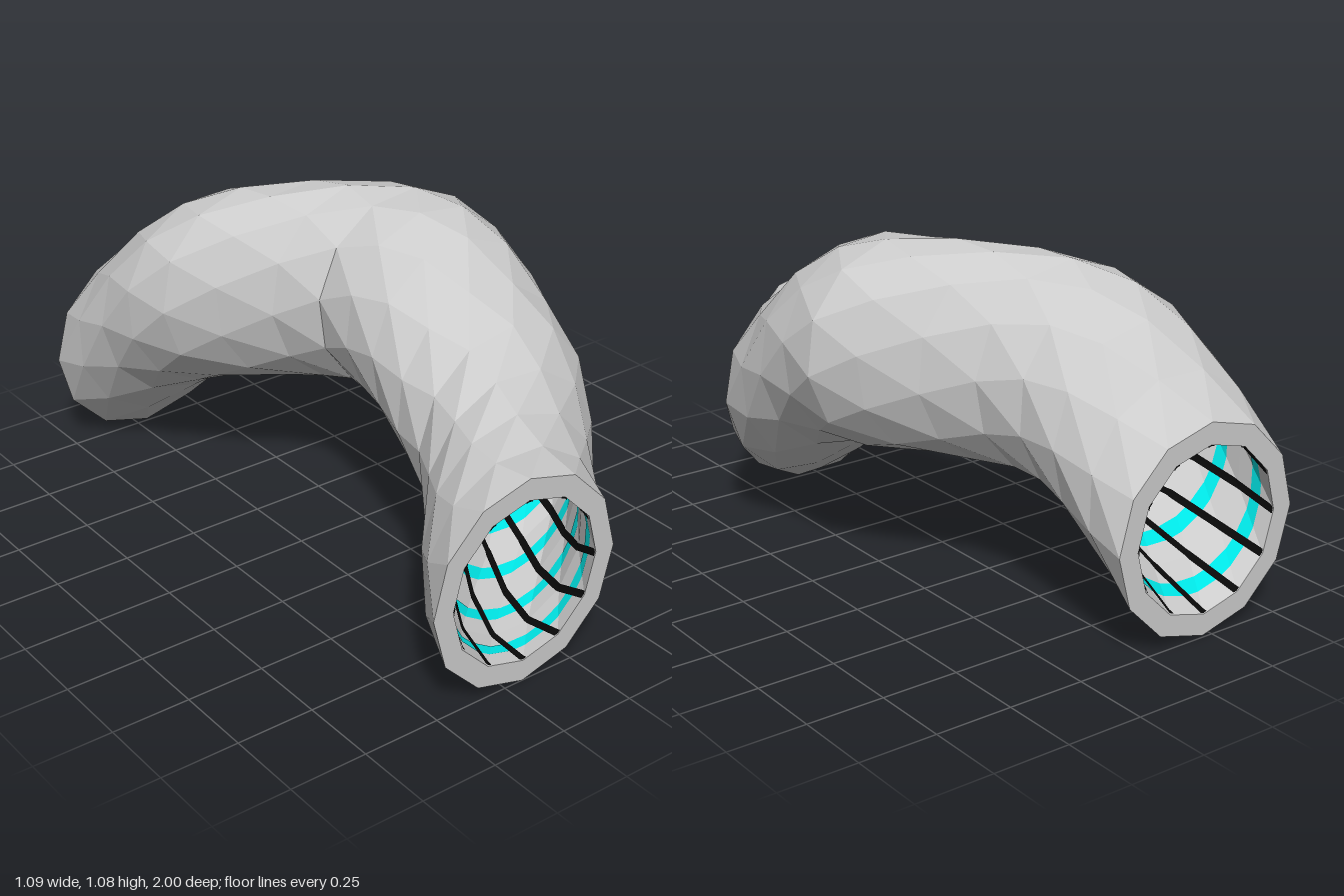
import * as THREE from 'three';

const SIDES = 12, SEGS = 15, OUTER = 0.334, INNER = 0.265;
const TWIST = THREE.MathUtils.degToRad(16); // turn of each ring relative to the last

// Centres of the rings, evenly spaced from z = 1 to z = -1
const CX = [-0.185, -0.115, -0.015, 0.1, 0.185, 0.205, 0.213, 0.213, 0.21, 0.125, 0, -0.11, -0.165, -0.185, -0.205, -0.213];
const CY = [0.334, 0.336, 0.36, 0.405, 0.48, 0.56, 0.665, 0.725, 0.745, 0.748, 0.735, 0.71, 0.66, 0.575, 0.455, 0.34];

// Corner k of ring i
function corner(i, k, r) {
  const a = (k / SIDES) * Math.PI * 2 - i * TWIST;
  return new THREE.Vector3(CX[i] + r * Math.cos(a), CY[i] + r * Math.sin(a), 1 - (2 * i) / SEGS);
}

// Any point on the faceted wall: s runs along the tube, v around it
function wall(s, v, r) {
  const i = Math.min(Math.floor(s), SEGS - 1), k = Math.floor(v);
  const t = s - i, u = v - k;
  const a = corner(i, k, r), d = corner(i + 1, k + 1, r);
  const m = t >= u ? corner(i + 1, k, r) : corner(i, k + 1, r);
  const hi = Math.max(t, u), lo = Math.min(t, u);
  return a.multiplyScalar(1 - hi).addScaledVector(m, hi - lo).addScaledVector(d, lo);
}

// Surface through a grid of points given by fn(row, col)
function grid(rows, cols, fn, flip = false) {
  const pos = [], index = [], n = cols.length;
  for (const r of rows) for (const c of cols) pos.push(...fn(r, c).toArray());
  for (let i = 0; i < rows.length - 1; i++) {
    for (let j = 0; j < n - 1; j++) {
      const a = i * n + j, b = a + 1, c = a + n, d = c + 1;
      if (flip) index.push(a, d, c, a, b, d);
      else index.push(a, c, d, a, d, b);
    }
  }
  const g = new THREE.BufferGeometry();
  g.setAttribute('position', new THREE.Float32BufferAttribute(pos, 3));
  g.setIndex(index);
  g.computeVertexNormals();
  return g;
}

const range = (n) => Array.from({ length: n + 1 }, (_, i) => i);

export function createModel() {
  const model = new THREE.Group();
  model.name = 'twistedTunnel';
  const grey = new THREE.MeshStandardMaterial({ color: 0xcccccc, flatShading: true });
  const black = new THREE.MeshStandardMaterial({ color: 0x080808, flatShading: true, side: THREE.DoubleSide });
  const cyan = new THREE.MeshStandardMaterial({ color: 0x00e5e5, flatShading: true, side: THREE.DoubleSide });
  const add = (parent, name, geometry, material) => {
    const mesh = new THREE.Mesh(geometry, material);
    mesh.name = name;
    parent.add(mesh);
  };

  // Tube walls
  const rings = range(SEGS), around = range(SIDES);
  add(model, 'outerWall', grid(rings, around, (i, k) => corner(i, k, OUTER)), grey);
  add(model, 'innerWall', grid(rings, around, (i, k) => corner(i, k, INNER), true), grey);

  // Flat rims at both ends
  add(model, 'frontRim', grid([INNER, OUTER], around, (r, k) => corner(0, k, r)), grey);
  add(model, 'backRim', grid([OUTER, INNER], around, (r, k) => corner(SEGS, k, r)), grey);

  // Black stripes running along the inner corners
  const stripes = new THREE.Group();
  stripes.name = 'lengthwiseStripes';
  const W = 0.09;
  const stripeRows = [];
  for (let i = 0; i < SEGS; i++) stripeRows.push(i, i + W, i + 1 - W);
  stripeRows.push(SEGS);
  for (let k = 0; k < SIDES; k++) {
    const g = grid(stripeRows, [k - W, k, k + W], (s, v) => wall(s, v, INNER - 0.004), true);
    add(stripes, 'stripe', g, black);
  }
  model.add(stripes);

  // Cyan hoops around the inside, one per segment
  const hoops = new THREE.Group();
  hoops.name = 'hoops';
  const T0 = 0.37, T1 = 0.63;
  const hoopCols = [];
  for (let k = 0; k < SIDES; k++) hoopCols.push(k, k + T0, k + T1);
  hoopCols.push(SIDES);
  for (let i = 0; i < SEGS; i++) {
    const g = grid([i + T0, i + T1], hoopCols, (s, v) => wall(s, v, INNER - 0.002), true);
    add(hoops, 'hoop', g, cyan);
  }
  model.add(hoops);

  return model;
}
